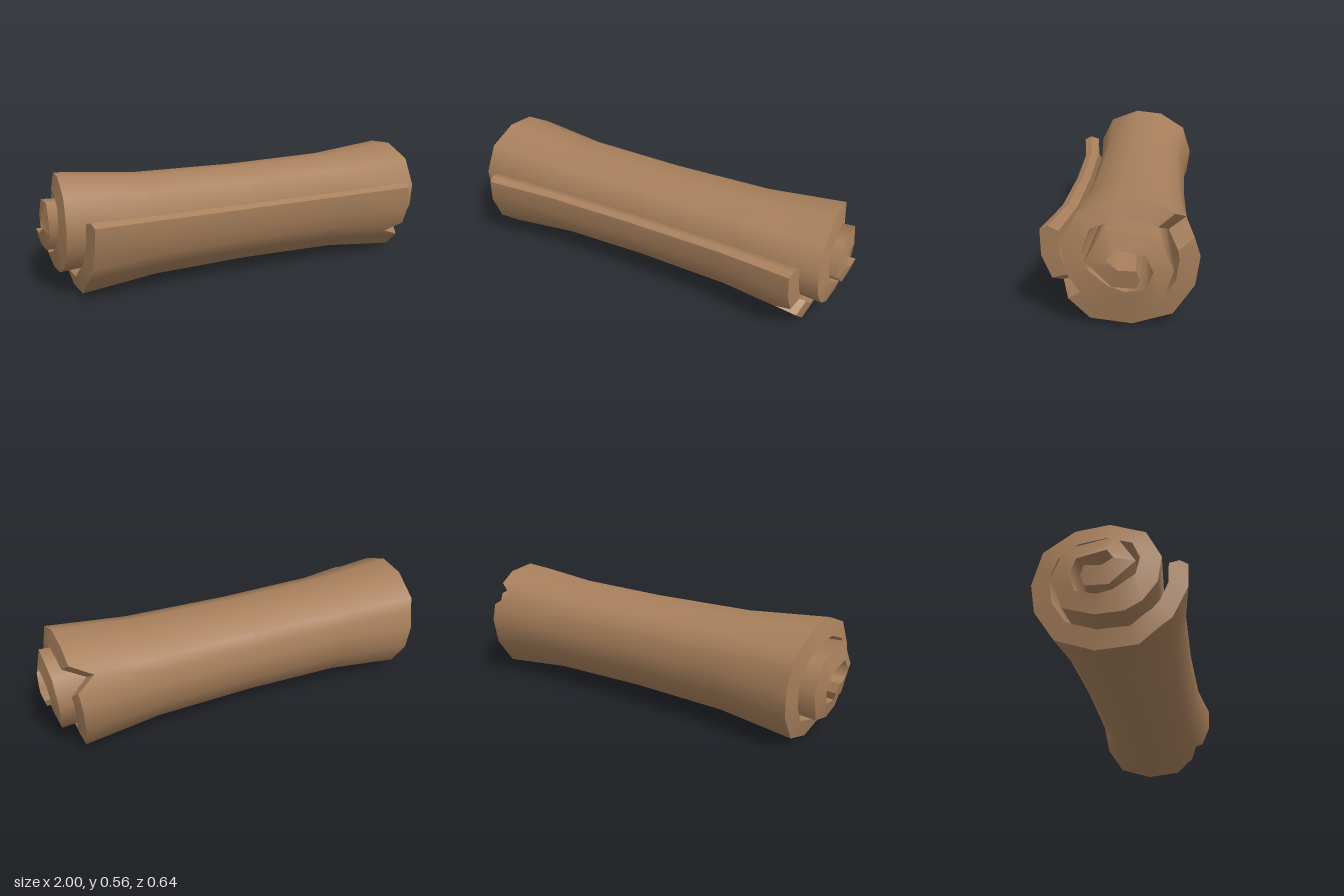
import * as THREE from 'three';
import { toCreasedNormals } from 'three/addons/utils/BufferGeometryUtils.js';

// Spiral cross-section from the loose outer flap to the core:
// outer z, outer y, inner z, inner y
const SECTION = [
  [0.322, 0.39, 0.242, 0.39], [0.318, 0.28, 0.24, 0.295], [0.275, 0.185, 0.205, 0.21],
  [0.252, 0.135, 0.175, 0.17], [0.21, 0.1, 0.145, 0.145], [0.12, 0.018, 0.088, 0.092],
  [-0.053, 0, -0.045, 0.082], [-0.218, 0.053, -0.17, 0.12], [-0.305, 0.183, -0.228, 0.21],
  [-0.323, 0.31, -0.24, 0.3], [-0.298, 0.39, -0.235, 0.34], [-0.278, 0.455, -0.205, 0.405],
  [-0.22, 0.49, -0.155, 0.44], [-0.14, 0.54, -0.115, 0.462], [0.007, 0.555, 0, 0.475],
  [0.158, 0.498, 0.105, 0.437], [0.222, 0.37, 0.137, 0.36], [0.205, 0.25, 0.12, 0.28],
  [0.145, 0.165, 0.105, 0.265], [0.075, 0.122, 0.035, 0.21], [-0.04, 0.11, -0.03, 0.19],
  [-0.17, 0.145, -0.115, 0.205], [-0.22, 0.28, -0.14, 0.28], [-0.165, 0.41, -0.112, 0.348],
  [0.045, 0.448, 0.012, 0.373], [0.125, 0.32, 0.04, 0.33], [0.02, 0.218, -0.008, 0.294],
  [-0.075, 0.216, -0.075, 0.297],
];
const LAST = SECTION.length - 1;
const TEARS = { 3: 0.09, 11: 0.09 }; // rows torn at the left end, with depth
const STATIONS = [-1, -0.57, 0, 0.57, 1];
const AXIS_Y = 0.28;

// One lengthwise line of the sheet: the roll narrows towards the middle
function lengthLine(z, y, halfLength, tear = 0) {
  return STATIONS.map((t) => {
    const x = t * halfLength - (t === 1 ? tear : 0);
    const s = 0.84 + 0.16 * Math.abs(x / halfLength) ** 3;
    return new THREE.Vector3(x, AXIS_Y + (y - AXIS_Y) * s, z * s);
  });
}

// Surface through successive lines of points
function strip(lines) {
  const n = lines[0].length;
  const index = [];
  for (let j = 0; j < lines.length - 1; j++) {
    for (let k = 0; k < n - 1; k++) {
      const a = j * n + k, b = a + n;
      index.push(a, b, b + 1, a, b + 1, a + 1);
    }
  }
  const geometry = new THREE.BufferGeometry().setFromPoints(lines.flat());
  geometry.setIndex(index);
  geometry.computeVertexNormals();
  return geometry;
}

export function createModel() {
  const group = new THREE.Group();
  group.name = 'rolledScroll';
  const parchment = new THREE.MeshStandardMaterial({ color: 0xa8805c });
  parchment.name = 'parchment brown';
  const add = (name, geometry) => {
    const mesh = new THREE.Mesh(geometry, parchment);
    mesh.name = name;
    group.add(mesh);
  };

  // Each winding sticks out a little further than the one around it
  const reach = (i) => 0.82 + 0.17 * i / LAST;
  const outer = SECTION.map(([z, y], i) => lengthLine(z, y, reach(i) - 0.01, TEARS[i]));
  const inner = SECTION.map(([, , z, y], i) => lengthLine(z, y, reach(i) + 0.01, TEARS[i]));
  const flapTip = lengthLine(0.286, 0.407, reach(0));
  const coreTip = lengthLine(-0.09, 0.255, reach(LAST));

  // Faces of the rolled sheet
  add('sheetOutside', strip(outer));
  add('sheetInside', strip([...inner].reverse()));

  // Long edges of the sheet
  add('flapEdge', toCreasedNormals(strip([inner[0], flapTip, outer[0]]), 0.3));
  add('coreEdge', toCreasedNormals(strip([outer[LAST], coreTip, inner[LAST]]), 0.3));

  // Spiral ends, with the torn notches on the left
  for (const [name, k] of [['leftSpiralEnd', STATIONS.length - 1], ['rightSpiralEnd', 0]]) {
    const lines = [
      [flapTip[k], flapTip[k]],
      ...outer.map((line, i) => [line[k], inner[i][k]]),
      [coreTip[k], coreTip[k]],
    ];
    if (k === 0) lines.forEach((line) => line.reverse());
    add(name, toCreasedNormals(strip(lines), 0.4));
  }
  return group;
}
